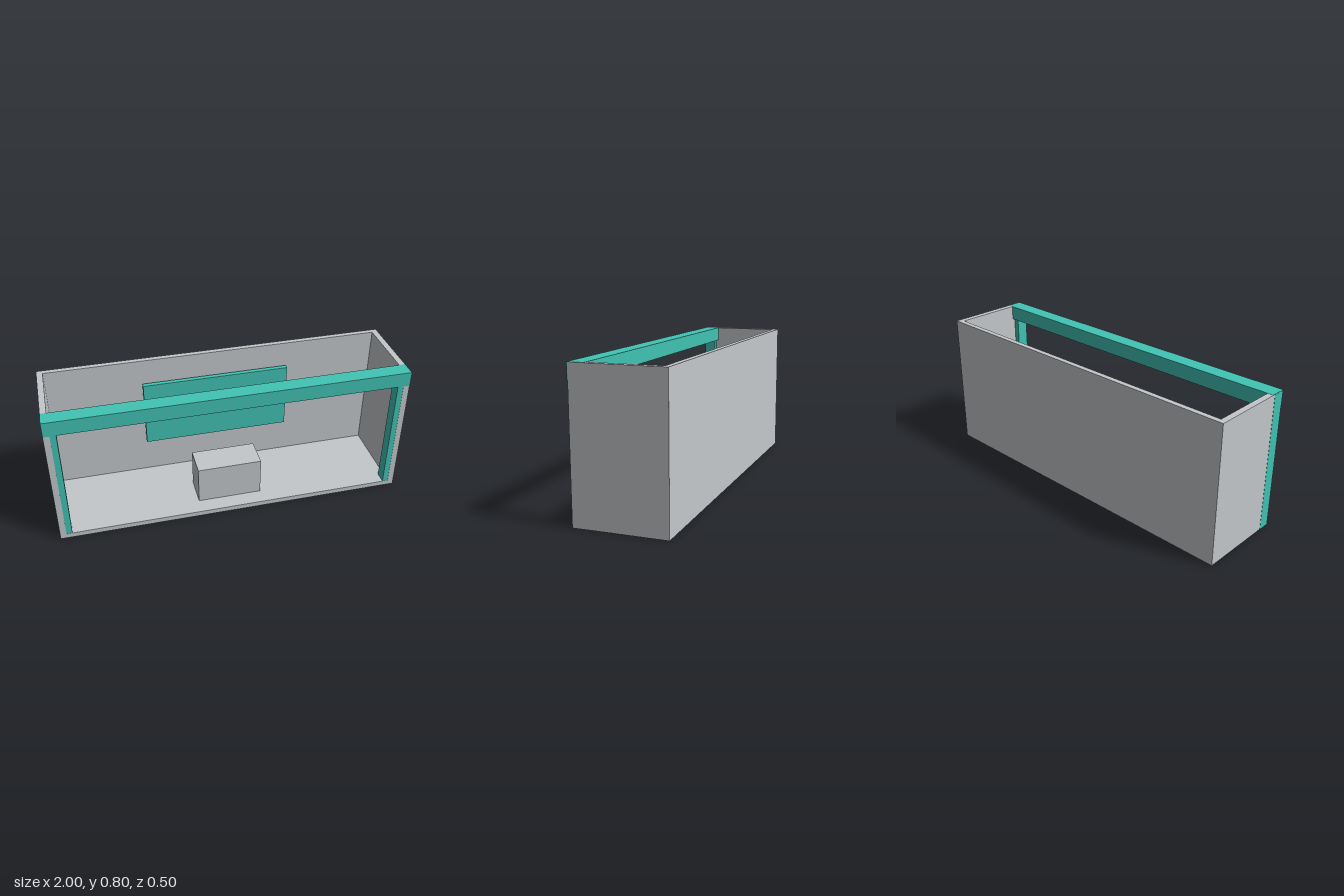
import * as THREE from 'three';

export function createModel() {
  const group = new THREE.Group();
  const grey = new THREE.MeshStandardMaterial({ color: 0xc4c8cb });
  grey.name = 'light grey';
  const teal = new THREE.MeshStandardMaterial({ color: 0x41c3b4 });
  teal.name = 'teal';

  // Box given by its lower and upper bounds on each axis
  function box(name, material, [x0, x1], [y0, y1], [z0, z1]) {
    const mesh = new THREE.Mesh(new THREE.BoxGeometry(x1 - x0, y1 - y0, z1 - z0), material);
    mesh.position.set((x0 + x1) / 2, (y0 + y1) / 2, (z0 + z1) / 2);
    mesh.name = name;
    group.add(mesh);
  }

  // Open booth shell: floor, back wall and two side walls
  const back = -0.252, front = 0.248, top = 0.799;
  box('floor', grey, [-0.965, 0.965], [0.001, 0.031], [back, front]);
  box('backWall', grey, [-0.965, 0.965], [0.031, top], [back, -0.222]);
  box('rightWall', grey, [-0.999, -0.965], [0.001, top], [back, front]);
  box('leftWall', grey, [0.965, 1], [0.001, top], [back, front]);

  // Corner posts, set into the front ends of the side walls
  box('rightPost', teal, [-1, -0.932], [0, 0.798], [0.178, 0.247]);
  box('leftPost', teal, [0.932, 0.999], [0, 0.798], [0.178, 0.247]);

  // Header beam across the front
  box('headerBeam', teal, [-0.9985, 0.9995], [0.715, 0.8], [0.163, 0.252]);

  // Display panel with its backing plate
  box('panelBacking', grey, [-0.41, 0.41], [0.285, 0.64], [-0.213, -0.202]);
  box('displayPanel', teal, [-0.427, 0.427], [0.265, 0.66], [-0.202, -0.175]);

  // Counter standing on the floor
  box('counter', grey, [-0.187, 0.185], [0.031, 0.258], [-0.02, 0.155]);

  return group;
}
